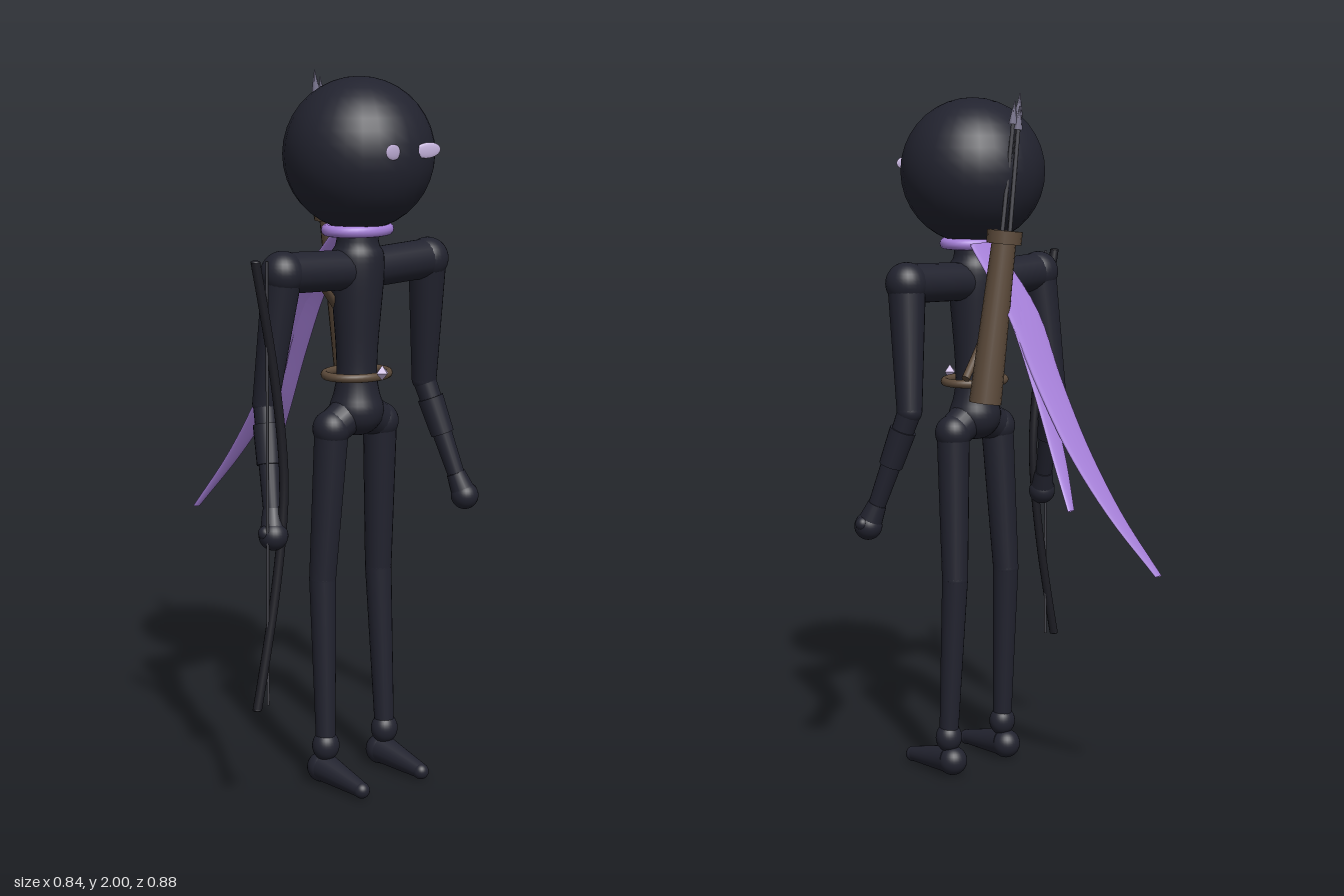
import * as THREE from 'three';

const mat = (name, color) => {
  const m = new THREE.MeshStandardMaterial({ color });
  m.name = name;
  return m;
};
const V = (a) => new THREE.Vector3(...a);

export function createModel() {
  const model = new THREE.Group();
  model.name = 'hoodedArcher';
  const body = mat('charcoal body', 0x22232f);
  const bowDark = mat('bow black', 0x1d1d24);
  const purple = mat('scarf purple', 0xa57fd8);
  const lilac = mat('pale lilac', 0xc4b2dc);
  const brown = mat('leather brown', 0x5c4a3a);
  const steel = mat('arrow grey', 0x45454c);
  const tip = mat('arrow tip grey', 0x77738c);
  const CX = 0.014; // body centre line

  const add = (name, geo, m, pos = [0, 0, 0], parent = model) => {
    const mesh = new THREE.Mesh(geo, m);
    mesh.name = name;
    mesh.position.set(...pos);
    parent.add(mesh);
    return mesh;
  };
  const ball = (name, pos, r, m = body, scale = [1, 1, 1]) => {
    const s = add(name, new THREE.SphereGeometry(r, 28, 18), m, pos);
    s.scale.set(...scale);
    return s;
  };
  // tapered rod from a (radius ra) to b (radius rb)
  const rod = (name, a, b, ra, rb, m = body, sides = 20) => {
    const A = V(a), B = V(b), d = B.clone().sub(A);
    const geo = new THREE.CylinderGeometry(rb, ra, d.length(), sides);
    const mesh = add(name, geo, m, A.clone().add(B).multiplyScalar(0.5).toArray());
    mesh.quaternion.setFromUnitVectors(new THREE.Vector3(0, 1, 0), d.normalize());
    return mesh;
  };

  // Head and eyes
  ball('head', [0.016, 1.78, 0.218], 0.208);
  for (const s of [-1, 1]) {
    const eye = ball('eye', [CX + s * 0.062, 1.797, 0.426], 0.038, lilac, [1, 0.55, 0.13]);
    eye.rotation.set(0, -s * 0.3, s * 0.08);
  }

  // Neck and torso: lathed profile, slightly flattened front to back
  const profile = [[0.001, 1.0], [0.04, 1.01], [0.07, 1.04], [0.078, 1.08], [0.066, 1.12],
    [0.058, 1.17], [0.06, 1.25], [0.068, 1.35], [0.076, 1.45], [0.074, 1.51], [0.06, 1.54], [0.056, 1.62]];
  const spline = new THREE.SplineCurve(profile.map((p) => new THREE.Vector2(...p)));
  const torso = add('torso', new THREE.LatheGeometry(spline.getPoints(36), 28), body, [CX, 0, 0.217]);
  torso.scale.z = 0.95;

  // Arms and legs, mirrored
  for (const s of [-1, 1]) {
    const at = (x, y, z) => [CX + s * x, y, z];
    const side = s > 0 ? 'left' : 'right';
    const shoulder = at(0.265, 1.475, 0.216), elbow = at(0.294, 1.12, 0.178);
    const wrist = at(0.342, 0.85, 0.265), hand = at(0.357, 0.785, 0.288);
    rod(side + 'ShoulderBar', at(0.02, 1.465, 0.216), shoulder, 0.055, 0.056);
    ball(side + 'Shoulder', shoulder, 0.06);
    rod(side + 'UpperArm', shoulder, elbow, 0.054, 0.036);
    ball(side + 'Elbow', elbow, 0.036);
    rod(side + 'Forearm', elbow, wrist, 0.034, 0.025);
    const P = V(elbow), Q = V(wrist);
    rod(side + 'Cuff', P.clone().lerp(Q, 0.2).toArray(), P.clone().lerp(Q, 0.58).toArray(), 0.038, 0.034);
    rod(side + 'Palm', wrist, hand, 0.027, 0.037);
    ball(side + 'Hand', hand, 0.04);
    ball(side + 'Thumb', at(0.382, 0.795, 0.285), 0.02);

    const hip = at(0.09, 1.03, 0.215), knee = at(0.105, 0.6, 0.196), ankle = at(0.112, 0.12, 0.22);
    ball(side + 'Hip', hip, 0.053);
    rod(side + 'HipLink', at(0.02, 1.07, 0.217), hip, 0.055, 0.05);
    rod(side + 'Thigh', hip, knee, 0.048, 0.038);
    ball(side + 'Knee', knee, 0.038);
    rod(side + 'Shin', knee, ankle, 0.038, 0.028);
    ball(side + 'Ankle', at(0.112, 0.115, 0.22), 0.04, body, [1, 1.1, 0.95]);
    ball(side + 'Heel', at(0.112, 0.046, 0.204), 0.043);
    const foot = rod(side + 'Foot', at(0.112, 0.048, 0.215), at(0.113, 0.028, 0.375), 0.042, 0.022);
    foot.name = side + 'Foot';
    ball(side + 'Toe', at(0.113, 0.027, 0.375), 0.023);
  }

  // Scarf collar, belt and buckle
  const ring = (name, y, r, tube, m) => {
    const t = add(name, new THREE.TorusGeometry(r, tube, 12, 40), m, [CX, y, 0.217]);
    t.rotation.x = Math.PI / 2;
    t.scale.y = 0.82;
  };
  ring('scarfCollar', 1.575, 0.092, 0.016, purple);
  ring('belt', 1.175, 0.096, 0.012, brown);
  add('buckle', new THREE.OctahedronGeometry(0.021), lilac, [CX, 1.19, 0.322]);

  // Scarf tails: thin lens-shaped sections swept along rows of [xLeft, xRight, y, z]
  const tail = (name, rows) => {
    const left = new THREE.CatmullRomCurve3(rows.map(([a, , y, z]) => new THREE.Vector3(a, y, z)));
    const right = new THREE.CatmullRomCurve3(rows.map(([, b, y, z]) => new THREE.Vector3(b, y, z)));
    const N = 24, M = 14, pos = [], idx = [];
    for (let i = 0; i <= N; i++) {
      const a = left.getPoint(i / N), b = right.getPoint(i / N);
      const c = a.clone().add(b).multiplyScalar(0.5), h = b.clone().sub(a).multiplyScalar(0.5);
      for (let j = 0; j < M; j++) {
        const t = (j / M) * Math.PI * 2, k = Math.sin(t) * 0.005;
        pos.push(c.x + h.x * Math.cos(t), c.y + h.y * Math.cos(t) + k * 0.5, c.z + h.z * Math.cos(t) - k * 0.86);
        if (i < N) {
          const p = i * M + j, q = i * M + ((j + 1) % M);
          idx.push(p, q, p + M, q, q + M, p + M);
        }
      }
    }
    const g = new THREE.BufferGeometry();
    g.setAttribute('position', new THREE.Float32BufferAttribute(pos, 3));
    g.setIndex(idx);
    g.computeVertexNormals();
    add(name, g, purple);
  };
  purple.side = THREE.DoubleSide;
  tail('longScarfTail', [[0.015, 0.115, 1.58, 0.13], [-0.025, 0.1, 1.395, 0], [-0.008, 0.1, 1.21, -0.11],
    [0, 0.088, 1.025, -0.225], [-0.018, 0.04, 0.85, -0.335], [-0.065, -0.04, 0.685, -0.438]]);
  tail('shortScarfTail', [[0.03, 0.118, 1.575, 0.125], [0.01, 0.1, 1.395, 0], [0.045, 0.113, 1.2, -0.11],
    [0.088, 0.14, 1.0, -0.22], [0.14, 0.165, 0.88, -0.298]]);

  // Quiver with rim, and its strap across the torso
  const qTop = [0.083, 1.6, 0.025], qLow = [0.142, 1.14, 0.044];
  rod('quiver', qLow, qTop, 0.046, 0.034, brown, 16);
  rod('quiverRim', [0.085, 1.585, 0.025], [0.081, 1.622, 0.024], 0.049, 0.05, brown, 16);
  rod('strap', [-0.12, 1.445, 0.215], [0.14, 1.2, 0.125], 0.012, 0.012, brown, 10);

  // Arrows
  [[-0.014, 0.006, 0], [0.012, 0.01, -0.02], [0.002, -0.012, -0.035]].forEach(([dx, dz, dy]) => {
    const low = [0.08 + dx, 1.55, 0.024 + dz];
    const neck = [0.045 + dx * 0.7, 1.935 + dy, 0.013 + dz * 0.6];
    const end = [0.04 + dx * 0.7, 2 + dy, 0.011 + dz * 0.6];
    rod('arrowShaft', low, neck, 0.006, 0.006, steel, 8);
    rod('arrowHead', neck, end, 0.013, 0.001, tip, 6);
  });

  // Bow and string, held in the right hand
  const bowPath = new THREE.CatmullRomCurve3([[-0.412, 1.525], [-0.385, 1.4], [-0.35, 1.22], [-0.325, 1.04],
    [-0.318, 0.92], [-0.325, 0.8], [-0.35, 0.62], [-0.385, 0.44], [-0.412, 0.315]]
    .map(([x, y]) => new THREE.Vector3(x, y, 0.302)));
  add('bow', new THREE.TubeGeometry(bowPath, 48, 0.013, 10), bowDark);
  for (const e of [0, 1]) ball('bowTip', bowPath.getPoint(e).toArray(), 0.013, bowDark, [1, 0.4, 1]);
  rod('bowString', [-0.374, 0.32, 0.302], [-0.374, 1.525, 0.302], 0.004, 0.004, steel, 6);

  return model;
}
